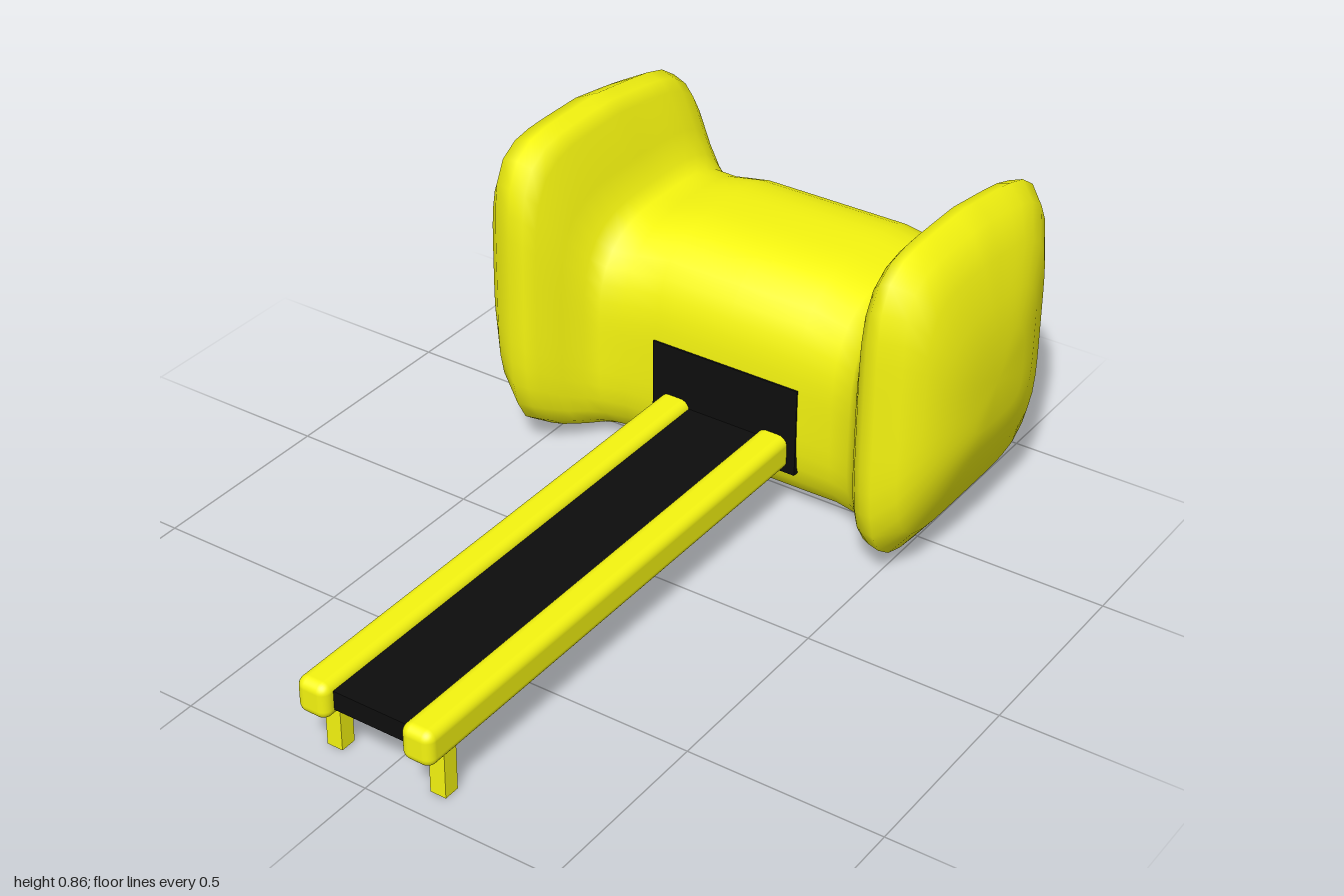
import * as THREE from 'three';
import { RoundedBoxGeometry } from 'three/addons/geometries/RoundedBoxGeometry.js';

const yellow = new THREE.MeshStandardMaterial({ color: 0xf5f510 });
const black = new THREE.MeshStandardMaterial({ color: 0x0d0d0d });

// Half of the hull: x, bottom, top, back z, front z, squareness of top, front foot, back foot
const HALF = [
  [0, 0.0, 0.62, -1.0, -0.402, 3, 4, 6],
  [0.2, 0.0, 0.62, -1.0, -0.402, 3, 4, 6],
  [0.3, 0.003, 0.60, -1.0, -0.402, 3, 4, 6],
  [0.36, 0.005, 0.60, -0.997, -0.385, 3.2, 4, 6],
  [0.39, 0.008, 0.63, -0.995, -0.36, 3.6, 4, 6],
  [0.42, 0.012, 0.70, -0.99, -0.31, 4.2, 4, 6],
  [0.455, 0.018, 0.82, -0.985, -0.255, 5, 4, 6],
  [0.48, 0.02, 0.85, -0.983, -0.237, 5.5, 4, 6],
  [0.515, 0.03, 0.862, -0.98, -0.228, 6, 4.5, 6],
  [0.57, 0.105, 0.84, -0.92, -0.25, 6, 4.5, 5],
  [0.61, 0.2, 0.77, -0.85, -0.29, 5, 4, 5],
  [0.64, 0.29, 0.67, -0.76, -0.35, 4, 4, 4],
  [0.656, 0.36, 0.58, -0.68, -0.44, 4, 4, 4],
];

// Loft closed sections along x, with a rounded-square outline per section
function hullGeometry() {
  const mirrored = HALF.slice(1).reverse().map(([x, ...rest]) => [-x, ...rest]);
  const sections = [...mirrored, ...HALF];
  const n = 48, pos = [], index = [];
  for (const [x, y0, y1, z0, z1, top, footFront, footBack] of sections) {
    const cy = (y0 + y1) / 2, cz = (z0 + z1) / 2;
    const slope = 0.05 * THREE.MathUtils.smoothstep(y1, 0.62, 0.85);
    for (let i = 0; i < n; i++) {
      const a = (i / n) * Math.PI * 2, c = Math.cos(a), s = Math.sin(a);
      const e = s >= 0 ? top : c >= 0 ? footFront : footBack;
      const r = (Math.abs(c) ** e + Math.abs(s) ** e) ** (-1 / e);
      // the tall end walls dip slightly towards the back
      const dip = slope * Math.max(0, s * r) * Math.max(0, -c * r);
      pos.push(x, cy + (r * s * (y1 - y0)) / 2 - dip, cz + (r * c * (z1 - z0)) / 2);
    }
  }
  for (let k = 0; k < sections.length - 1; k++) {
    for (let i = 0; i < n; i++) {
      const a = k * n + i, b = k * n + ((i + 1) % n);
      index.push(a, a + n, b, b, a + n, b + n);
    }
  }
  // end caps
  for (const k of [0, sections.length - 1]) {
    const [x, y0, y1, z0, z1] = sections[k], centre = pos.length / 3;
    pos.push(x, (y0 + y1) / 2, (z0 + z1) / 2);
    for (let i = 0; i < n; i++) {
      const a = k * n + i, b = k * n + ((i + 1) % n);
      if (k) index.push(a, centre, b);
      else index.push(b, centre, a);
    }
  }
  const g = new THREE.BufferGeometry();
  g.setAttribute('position', new THREE.Float32BufferAttribute(pos, 3));
  g.setIndex(index);
  g.computeVertexNormals();
  return g;
}

export function createModel() {
  const model = new THREE.Group();
  const add = (name, geometry, material, x = 0, y = 0, z = 0) => {
    const mesh = new THREE.Mesh(geometry, material);
    mesh.name = name;
    mesh.position.set(x, y, z);
    model.add(mesh);
    return mesh;
  };

  add('scannerBody', hullGeometry(), yellow);

  // Dark opening where the belt enters the body
  add('opening', new THREE.BoxGeometry(0.415, 0.24, 0.14), black, 0, 0.24, -0.468);

  // Belt between the rails
  add('conveyorBelt', new THREE.BoxGeometry(0.22, 0.05, 1.4), black, 0, 0.175, 0.27);

  for (const [side, sign] of [['left', 1], ['right', -1]]) {
    add(side + 'Rail', new RoundedBoxGeometry(0.084, 0.094, 1.45, 4, 0.025), yellow, sign * 0.142, 0.174, 0.275);
    add(side + 'Leg', new THREE.BoxGeometry(0.042, 0.14, 0.042), yellow, sign * 0.143, 0.07, 0.907);
  }
  return model;
}
